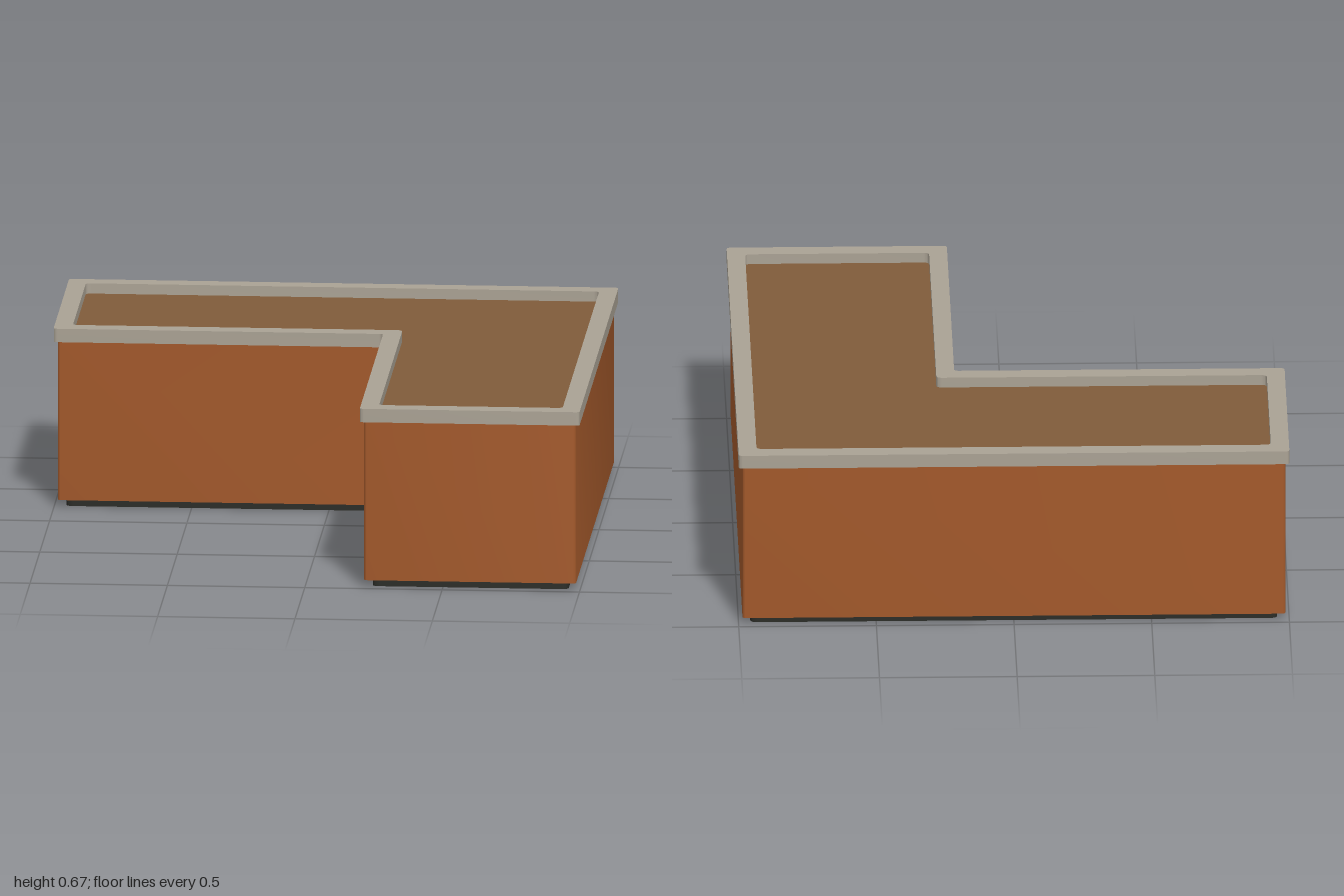
import * as THREE from 'three';
import { toCreasedNormals } from 'three/addons/utils/BufferGeometryUtils.js';

const material = (name, color) => {
  const m = new THREE.MeshStandardMaterial({ color });
  m.name = name;
  return m;
};

// Rounded L outline, moved inwards by `inset`; shape y is -z
function traceL(path, inset, radius) {
  const a = 1 - inset, b = 0.2 + inset;
  const corners = [[-a, b], [b, b], [b, -a], [a, -a], [a, a], [-a, a]]
    .map(([x, y]) => new THREE.Vector2(x, y));
  corners.forEach((c, i) => {
    const prev = corners[(i + 5) % 6], next = corners[(i + 1) % 6];
    const start = prev.clone().sub(c).setLength(radius).add(c);
    const end = next.clone().sub(c).setLength(radius).add(c);
    if (i === 0) path.moveTo(start.x, start.y);
    else path.lineTo(start.x, start.y);
    path.quadraticCurveTo(c.x, c.y, end.x, end.y);
  });
  path.closePath();
  return path;
}

// Upright slab with the L outline, optionally hollow
function slab(name, mat, inset, radius, y0, y1, holeInset) {
  const shape = traceL(new THREE.Shape(), inset, radius);
  if (holeInset) shape.holes.push(traceL(new THREE.Path(), holeInset, 0.02));
  const geo = new THREE.ExtrudeGeometry(shape, { depth: y1 - y0, bevelEnabled: false, curveSegments: 5 });
  geo.rotateX(-Math.PI / 2);
  geo.translate(0, y0, 0);
  const mesh = new THREE.Mesh(toCreasedNormals(geo, 0.6), mat);
  mesh.name = name;
  return mesh;
}

export function createModel() {
  const group = new THREE.Group();
  group.name = 'cornerPlanter';
  group.add(
    // recessed plinth
    slab('plinth', material('dark base', 0x2b2c27), 0.043, 0.025, 0, 0.032),
    // planter walls
    slab('body', material('rust', 0xa3592b), 0.014, 0.015, 0.028, 0.622),
    // coping around the top
    slab('rim', material('stone', 0xaaa294), 0, 0.015, 0.62, 0.67, 0.066),
    // soil bed, sunk below the rim
    slab('soil', material('soil', 0x805c3a), 0.06, 0.015, 0.6, 0.632),
  );
  return group;
}
